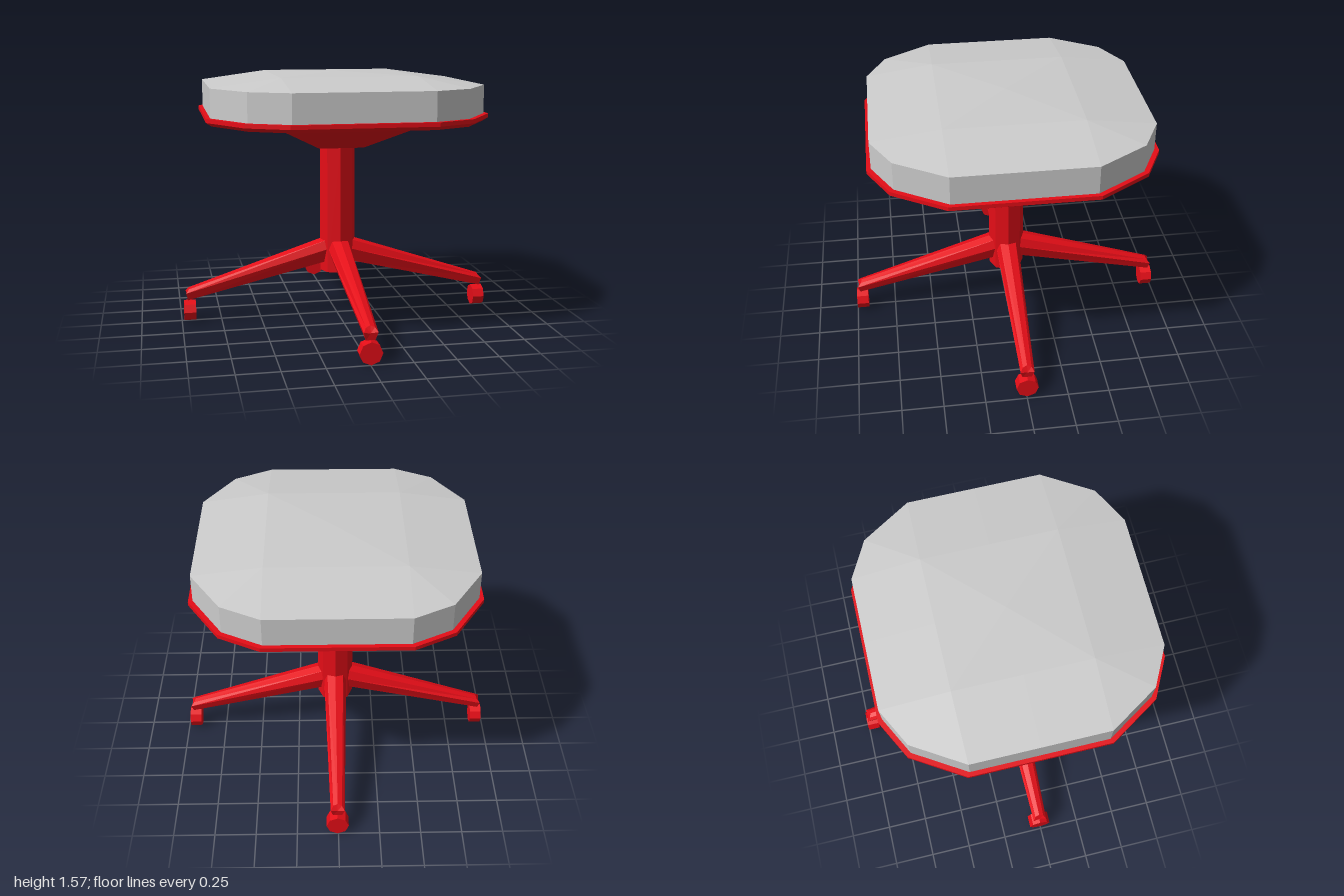
import * as THREE from 'three';

const red = new THREE.MeshStandardMaterial({ color: 0xe50d17, flatShading: true });
const grey = new THREE.MeshStandardMaterial({ color: 0xcccccc, flatShading: true });

// Skin a stack of rings with equal point counts; collapsed triangles are dropped.
function loft(rings) {
  const pos = [];
  const tri = new THREE.Triangle();
  const add = (a, b, c) => {
    if (tri.set(a, b, c).getArea() > 1e-7) [a, b, c].forEach((p) => pos.push(p.x, p.y, p.z));
  };
  for (let r = 0; r < rings.length - 1; r++) {
    const lo = rings[r], hi = rings[r + 1], n = lo.length;
    for (let i = 0; i < n; i++) {
      const j = (i + 1) % n;
      add(lo[i], hi[i], hi[j]);
      add(lo[i], hi[j], lo[j]);
    }
  }
  const g = new THREE.BufferGeometry();
  g.setAttribute('position', new THREE.Float32BufferAttribute(pos, 3));
  g.computeVertexNormals();
  return g;
}

// Seat outline of 16 points: one half, then the same half turned round.
const half = [
  [1, 0], [1, 0.495], [0.775, 0.855], [0.495, 1],
  [0, 1], [-0.495, 1], [-0.775, 0.855], [-1, 0.495],
];
const unitOutline = [...half, ...half.map(([x, z]) => [-x, -z])];

function outline(size, y) {
  return unitOutline.map(([x, z]) => new THREE.Vector3(x * size, y, z * size));
}

// Square ring: the outline clamped to its inner square.
function square(size, y) {
  const clamp = (v) => THREE.MathUtils.clamp(v / 0.495, -1, 1) * size;
  return unitOutline.map(([x, z]) => new THREE.Vector3(clamp(x), y, clamp(z)));
}

// Leg section across +x: ridge, shoulders, sides and flat underside, each [x, y, half width].
function legSection(ridge, shoulder, side, under) {
  const mirror = ([x, y, w]) => [x, y, -w];
  return [side, shoulder, ridge, mirror(shoulder), mirror(side), mirror(under), under]
    .map((p) => new THREE.Vector3(...p));
}

function part(name, geometry, material, x, y, z) {
  const m = new THREE.Mesh(geometry, material);
  m.name = name;
  m.position.set(x, y, z);
  return m;
}

export function createModel() {
  const model = new THREE.Group();
  model.name = 'stool';

  // Cushion with a gently domed top
  model.add(part('cushion', loft([
    square(0, 1.31), outline(0.82, 1.31), outline(0.82, 1.497), square(0.41, 1.552), square(0, 1.566),
  ]), grey, 0.004, 0, 0));

  // Tray under the cushion, sloping down to the column
  model.add(part('seatTray', loft([
    square(0, 1.097), square(0.14, 1.097), square(0.41, 1.245), outline(0.815, 1.28),
    outline(0.846, 1.302), outline(0.846, 1.326), square(0, 1.326),
  ]), red, 0.004, 0, 0));

  // Column
  model.add(part('column', new THREE.CylinderGeometry(0.112, 0.112, 0.82, 8), red, 0.004, 0.70, -0.003));

  // Four tapered legs, each with a caster
  const start = legSection([0.05, 0.516, 0], [0.05, 0.503, 0.052], [0.05, 0.445, 0.073], [0.05, 0.36, 0.045]);
  const end = legSection([0.945, 0.219, 0], [0.952, 0.209, 0.026], [0.972, 0.185, 0.042], [0.96, 0.138, 0.028]);
  const cap = (x, y) => start.map(() => new THREE.Vector3(x, y, 0));
  const legGeometry = loft([cap(0.05, 0.44), start, end, cap(0.966, 0.18)]);
  const casterGeometry = new THREE.CylinderGeometry(0.067, 0.067, 0.073, 8).rotateZ(Math.PI / 2);
  for (let k = 0; k < 4; k++) {
    const arm = new THREE.Group();
    arm.name = 'legWithCaster';
    arm.add(part('leg', legGeometry, red, 0, 0, 0));
    arm.add(part('caster', casterGeometry, red, 0.948, 0.067, 0));
    arm.rotation.y = k * Math.PI / 2;
    // front and back legs reach slightly further
    if (k % 2) {
      arm.scale.x = 1.015;
      arm.position.x = 0.005;
    } else {
      arm.position.z = -0.004;
    }
    model.add(arm);
  }
  return model;
}
